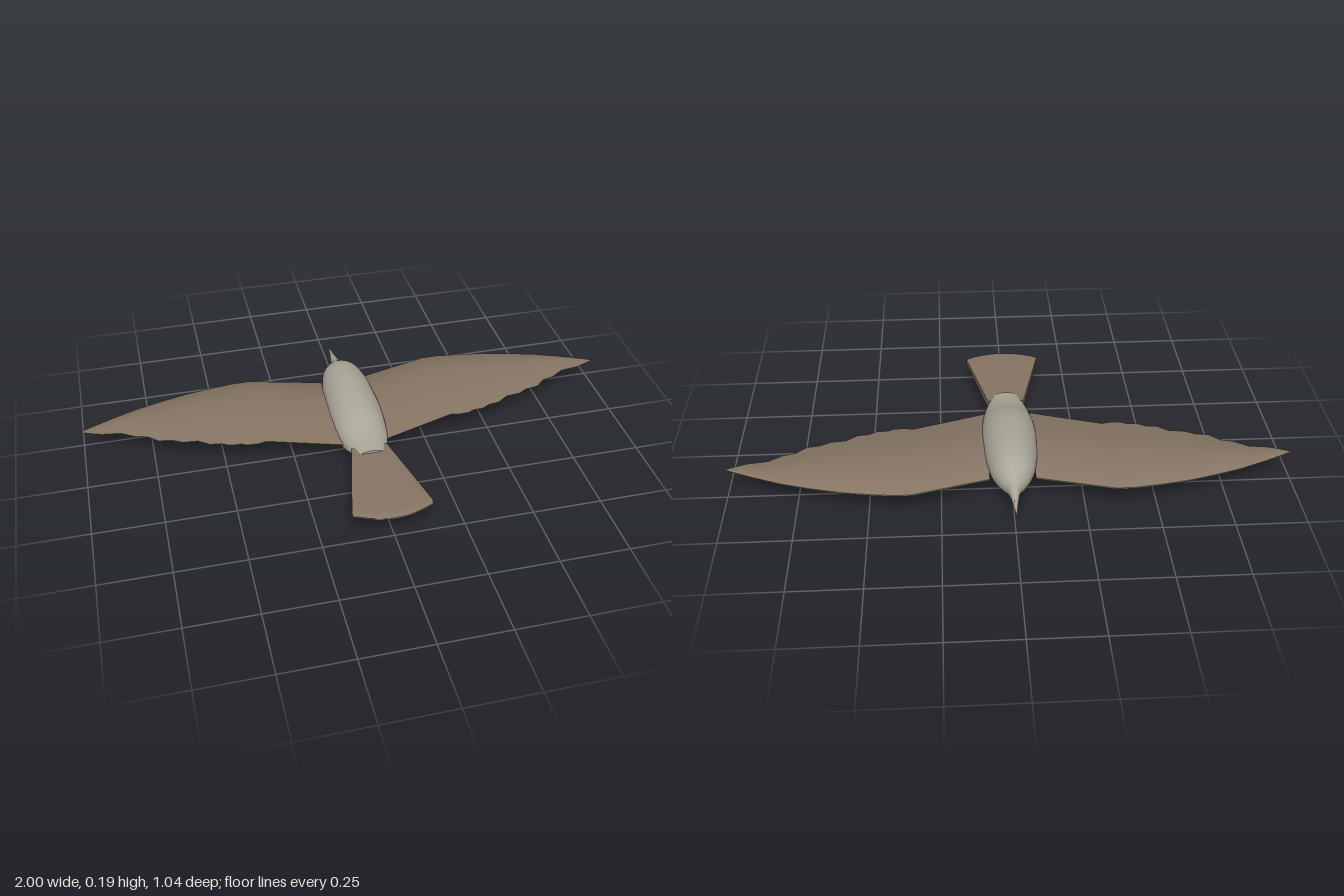
import * as THREE from 'three';
import { toCreasedNormals } from 'three/addons/utils/BufferGeometryUtils.js';

// Skin a closed solid over rings of points, with a flat cap on each end.
function loft(rings, crease) {
  const pos = [];
  const tri = (...pts) => pts.forEach((p) => pos.push(p.x, p.y, p.z));
  const n = rings[0].length;
  for (let i = 0; i < rings.length - 1; i++) {
    const a = rings[i], b = rings[i + 1];
    for (let j = 0; j < n; j++) {
      const k = (j + 1) % n;
      tri(a[j], a[k], b[k]);
      tri(a[j], b[k], b[j]);
    }
  }
  const cap = (ring, flip) => {
    const c = ring.reduce((s, p) => s.add(p), new THREE.Vector3()).divideScalar(n);
    ring.forEach((p, j) => {
      const q = ring[(j + 1) % n];
      flip ? tri(c, q, p) : tri(c, p, q);
    });
  };
  cap(rings[0], true);
  cap(rings[rings.length - 1], false);
  const geo = new THREE.BufferGeometry();
  geo.setAttribute('position', new THREE.Float32BufferAttribute(pos, 3));
  return toCreasedNormals(geo, crease);
}

// Straight-line lookup in a list of [x, value] pairs.
function lookup(table, x) {
  let i = 1;
  while (i < table.length - 1 && table[i][0] < x) i++;
  const [x0, v0] = table[i - 1], [x1, v1] = table[i];
  return THREE.MathUtils.lerp(v0, v1, THREE.MathUtils.clamp((x - x0) / (x1 - x0), 0, 1));
}

// Body, head and beak: oval sections [z, half width, top, bottom]
function bodyGeometry() {
  const sections = [
    [-0.525, 0.002, 0.102, 0.098],
    [-0.45, 0.012, 0.115, 0.085],
    [-0.4, 0.024, 0.129, 0.073],
    [-0.365, 0.047, 0.149, 0.058],
    [-0.32, 0.071, 0.174, 0.042],
    [-0.27, 0.084, 0.184, 0.03],
    [-0.2, 0.094, 0.187, 0.016],
    [-0.1, 0.1, 0.182, 0.003],
    [-0.04, 0.099, 0.175, 0],
    [0.01, 0.096, 0.165, 0.007],
    [0.06, 0.089, 0.147, 0.023],
    [0.1, 0.08, 0.135, 0.043],
    [0.145, 0.065, 0.127, 0.066],
    [0.185, 0.05, 0.123, 0.08],
  ];
  const widths = new THREE.SplineCurve(sections.map((s) => new THREE.Vector2(s[0], s[1])));
  const heights = new THREE.SplineCurve(sections.map((s) => new THREE.Vector2(s[2], s[3])));
  const rings = [];
  const steps = 52, sides = 36;
  for (let i = 0; i <= steps; i++) {
    const w = widths.getPoint(i / steps), h = heights.getPoint(i / steps);
    const ring = [];
    for (let j = 0; j < sides; j++) {
      const a = (j / sides) * Math.PI * 2;
      ring.push(new THREE.Vector3(
        w.y * Math.cos(a),
        (h.x + h.y) / 2 + ((h.x - h.y) / 2) * Math.sin(a),
        w.x));
    }
    rings.push(ring);
  }
  return loft(rings, 0.8);
}

// Wing: thin cambered sections between a leading and a ragged trailing edge
const leading = [
  [0.08, -0.315], [0.35, -0.388], [0.41, -0.388], [0.5, -0.377], [0.6, -0.36],
  [0.7, -0.334], [0.8, -0.303], [0.9, -0.262], [0.98, -0.225], [1, -0.214],
];
const trailing = [
  [0.08, 0.09], [0.35, 0.003], [0.38, 0.01], [0.42, 0.008], [0.44, -0.003], [0.48, -0.005],
  [0.51, -0.022], [0.55, -0.027], [0.59, -0.057], [0.645, -0.063], [0.68, -0.083],
  [0.73, -0.092], [0.765, -0.125], [0.81, -0.138], [0.86, -0.17], [0.93, -0.18],
  [0.97, -0.195], [1, -0.208],
];

function wingGeometry(side) {
  const stations = [...new Set([...leading, ...trailing].map((p) => p[0]))].sort((a, b) => a - b);
  const n = 14;
  const rings = stations.map((x) => {
    const z0 = lookup(leading, x), z1 = lookup(trailing, x);
    const size = Math.min(1, (z1 - z0) / 0.38);
    const ring = [];
    const add = (u, y) => ring.push(new THREE.Vector3(side * x, y, THREE.MathUtils.lerp(z0, z1, u)));
    // upper surface from front to back, then lower surface forward again
    for (let i = 0; i <= n; i++) {
      const u = (i / n) ** 1.4;
      add(u, 0.091 + size * (0.03 * Math.sin(Math.PI * u ** 0.8) - 0.002 * (1 - u)));
    }
    for (let i = n; i >= 0; i--) {
      const u = (i / n) ** 1.4;
      add(u, 0.089 + size * (0.004 * Math.sin(Math.PI * u) - 0.005 * (1 - u)));
    }
    return side > 0 ? ring : ring.reverse();
  });
  return loft(rings, 0.6);
}

// Tail: a slab that fans out and thins toward a curved, rounded end
function tailGeometry() {
  const rows = [0, 0.25, 0.5, 0.75, 0.93, 0.96, 0.98, 0.993, 1];
  const n = 12;
  const rings = rows.map((v) => {
    const round = v > 0.93 ? Math.sqrt(Math.max(0.04, 1 - ((v - 0.93) / 0.07) ** 2)) : 1;
    const half = THREE.MathUtils.lerp(0.066, 0.141, Math.min(v / 0.96, 1)) - (v > 0.98 ? 0.006 * (v - 0.98) / 0.02 : 0);
    const thick = THREE.MathUtils.lerp(0.019, 0.011, v) * round;
    const ring = [];
    const add = (u, y) => ring.push(new THREE.Vector3(
      u * half, 0.095 + y * thick, 0.142 + v * (0.338 + 0.038 * (1 - u * u))));
    for (let i = 0; i <= n; i++) {
      const u = 1 - (2 * i) / n;
      add(u, Math.abs(u) === 1 ? 0.8 : 1);
    }
    for (let i = 0; i <= n; i++) {
      const u = -1 + (2 * i) / n;
      add(u, Math.abs(u) === 1 ? -0.8 : -1);
    }
    return ring;
  });
  return loft(rings, 0.6);
}

export function createModel() {
  const plumage = new THREE.MeshStandardMaterial({ color: 0xaaa698 });
  plumage.name = 'pale grey plumage';
  const feathers = new THREE.MeshStandardMaterial({ color: 0x857563 });
  feathers.name = 'brown feathers';

  const bird = new THREE.Group();
  bird.name = 'bird';
  const part = (name, geometry, material) => {
    const mesh = new THREE.Mesh(geometry, material);
    mesh.name = name;
    bird.add(mesh);
  };
  part('body', bodyGeometry(), plumage);
  part('leftWing', wingGeometry(1), feathers);
  part('rightWing', wingGeometry(-1), feathers);
  part('tail', tailGeometry(), feathers);
  return bird;
}
